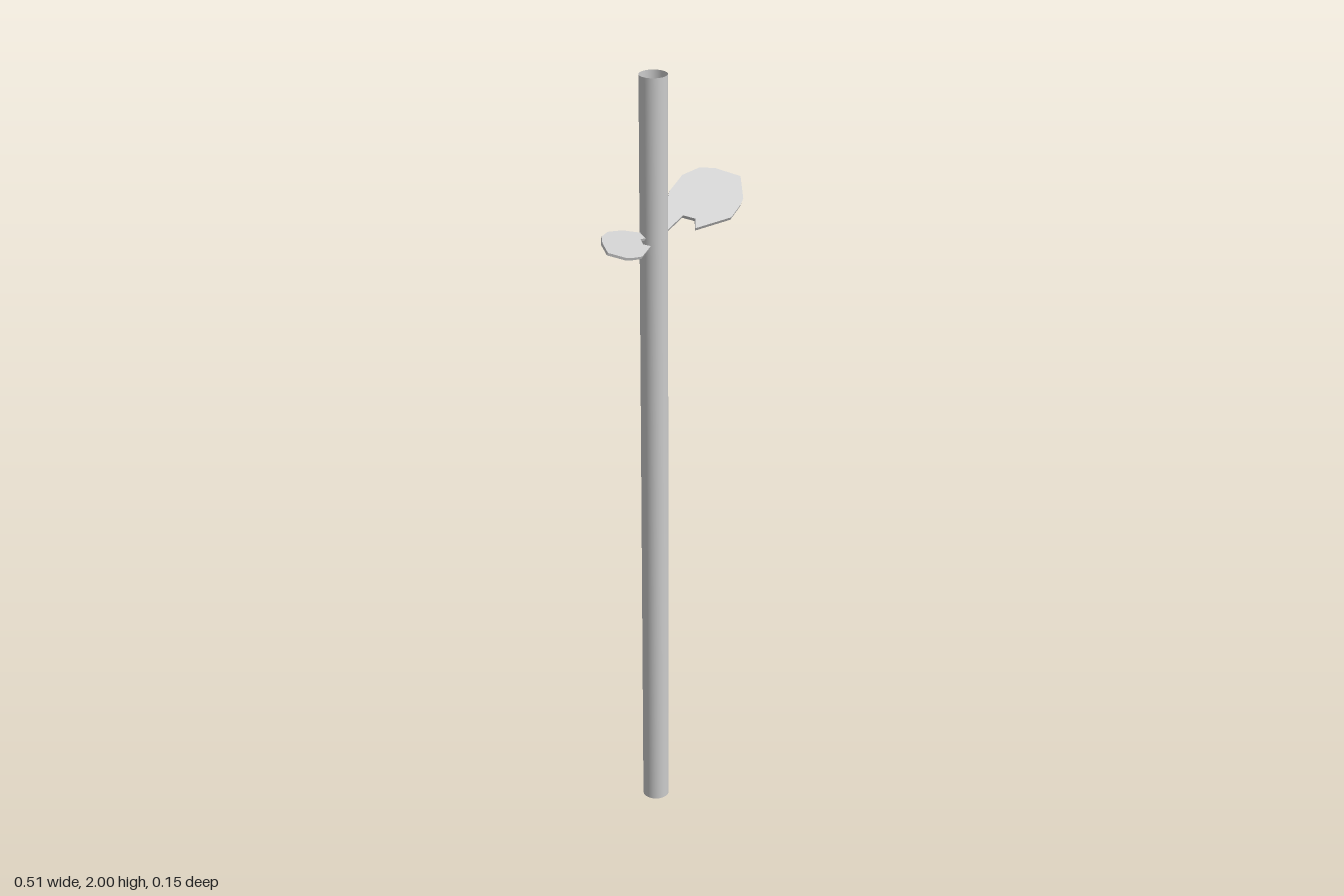
import * as THREE from 'three';

const material = new THREE.MeshStandardMaterial({ color: 0xcccccc, side: THREE.DoubleSide });

// Thin slab with the outline [x, z], tilted so that y = base + slopeX * x + slopeZ * z
function makeLeaf(name, outline, base, slopeX, slopeZ, thickness) {
  const shape = new THREE.Shape(outline.map(([x, z]) => new THREE.Vector2(x, -z)));
  const geometry = new THREE.ExtrudeGeometry(shape, { depth: 1, bevelEnabled: false });
  geometry.rotateX(-Math.PI / 2);
  const normal = new THREE.Vector3(-slopeX, 1, -slopeZ).normalize();
  const p = geometry.attributes.position;
  const v = new THREE.Vector3();
  for (let i = 0; i < p.count; i++) {
    v.fromBufferAttribute(p, i);
    const offset = (v.y - 0.5) * thickness;
    v.y = base + slopeX * v.x + slopeZ * v.z;
    v.addScaledVector(normal, offset);
    p.setXYZ(i, v.x, v.y, v.z);
  }
  geometry.computeVertexNormals();
  const leaf = new THREE.Mesh(geometry, material);
  leaf.name = name;
  return leaf;
}

export function createModel() {
  const model = new THREE.Group();
  model.name = 'stemWithLeaves';

  // Open-ended tubular stem
  const stem = new THREE.Mesh(new THREE.CylinderGeometry(0.034, 0.034, 2, 32, 1, true), material);
  stem.name = 'stem';
  stem.position.set(-0.059, 1, -0.015);
  model.add(stem);

  // Large leaf: pointed stalk, rounded back edge, tip, front edge, notch
  model.add(makeLeaf('leftLeaf', [
    [-0.04, -0.004], [0.003, -0.034], [0.075, -0.067], [0.14, -0.075], [0.194, -0.061],
    [0.224, -0.035], [0.256, 0.018], [0.207, 0.06], [0.188, 0.066], [0.137, 0.073],
    [0.04, 0.036], [0.062, 0.02], [0.045, -0.005],
  ], 1.606, 0.257, -0.51, 0.009));

  // Small leaf on the other side
  model.add(makeLeaf('rightLeaf', [
    [-0.053, -0.013], [-0.08, -0.032], [-0.13, -0.057], [-0.178, -0.064], [-0.212, -0.055],
    [-0.235, -0.036], [-0.257, -0.003], [-0.225, 0.026], [-0.21, 0.031], [-0.175, 0.035],
    [-0.11, 0.012], [-0.125, 0.001], [-0.113, -0.016],
  ], 1.584, -0.142, -0.4, 0.007));

  return model;
}
